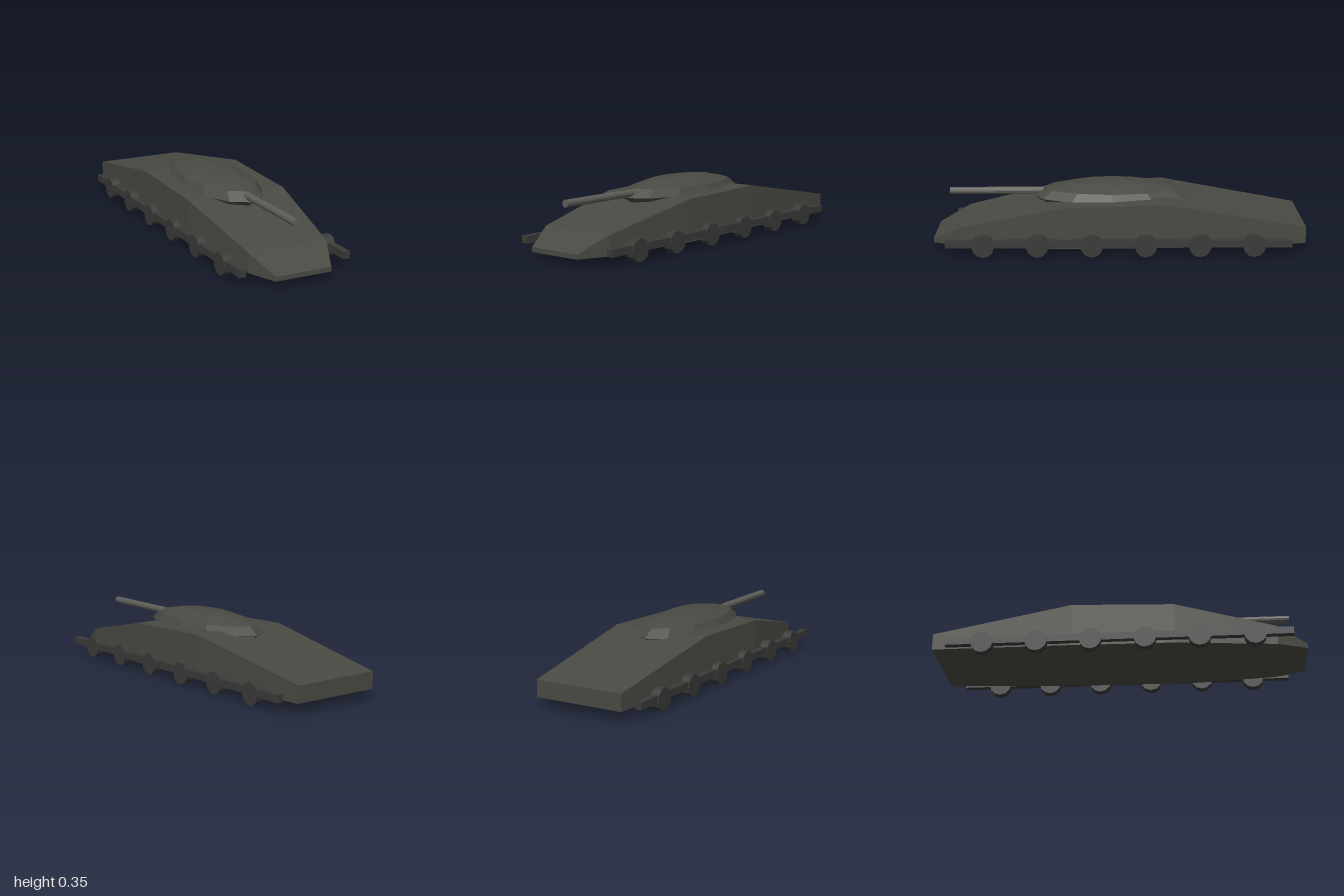
import * as THREE from 'three';

const material = (color) => new THREE.MeshStandardMaterial({ color, flatShading: true });

// Loft four-cornered sections [z, halfWidth, bottom, top] from front to rear
function loftHull(sections) {
  const pos = [];
  const index = [];
  for (const [z, w, b, t] of sections) pos.push(-w, b, z, w, b, z, w, t, z, -w, t, z);
  for (let s = 0; s < sections.length - 1; s++) {
    for (let k = 0; k < 4; k++) {
      const a = s * 4 + k, b = s * 4 + (k + 1) % 4;
      index.push(a, a + 4, b, b, a + 4, b + 4);
    }
  }
  const e = (sections.length - 1) * 4;
  index.push(0, 1, 2, 0, 2, 3, e, e + 2, e + 1, e, e + 3, e + 2);
  const geo = new THREE.BufferGeometry();
  geo.setAttribute('position', new THREE.Float32BufferAttribute(pos, 3));
  geo.setIndex(index);
  const flat = geo.toNonIndexed();
  flat.computeVertexNormals();
  return flat;
}

export function createModel() {
  const group = new THREE.Group();
  const armour = material(0x4a4a44);
  const running = material(0x3a3a39);
  const steel = material(0x5c5c58);

  const add = (name, geo, mat, x = 0, y = 0, z = 0, parent = group) => {
    const mesh = new THREE.Mesh(geo, mat);
    mesh.name = name;
    mesh.position.set(x, y, z);
    parent.add(mesh);
    return mesh;
  };

  // Wedge-nosed hull sloping down to a low tail
  add('hull', loftHull([
    [1, 0.155, 0.035, 0.06],
    [0.84, 0.22, 0.035, 0.14],
    [0.3, 0.28, 0.035, 0.26],
    [-0.25, 0.28, 0.04, 0.277],
    [-1, 0.25, 0.055, 0.145],
  ]), armour);

  // Flattened faceted turret, its lower half sunk in the hull
  const dome = new THREE.SphereGeometry(1, 12, 6).scale(0.2, 0.087, 0.433);
  add('turret', dome, armour, 0, 0.26, 0.033);

  // Gun barrel
  const barrel = new THREE.CylinderGeometry(0.02, 0.02, 0.52, 12).rotateX(Math.PI / 2);
  add('gunBarrel', barrel, steel, 0, 0.283, 0.66);

  // Track bar and six road wheels on each side
  const bar = new THREE.BoxGeometry(0.036, 0.039, 1.84);
  const wheel = new THREE.CylinderGeometry(0.06, 0.06, 0.048, 12).rotateZ(Math.PI / 2);
  for (const side of [1, -1]) {
    const track = new THREE.Group();
    track.name = side > 0 ? 'leftTrack' : 'rightTrack';
    group.add(track);
    add('trackBar', bar, running, side * 0.294, 0.071, 0, track);
    for (let i = 0; i < 6; i++) {
      add('roadWheel', wheel, running, side * 0.294, 0.06, 0.72 - i * 0.288, track);
    }
  }
  return group;
}
